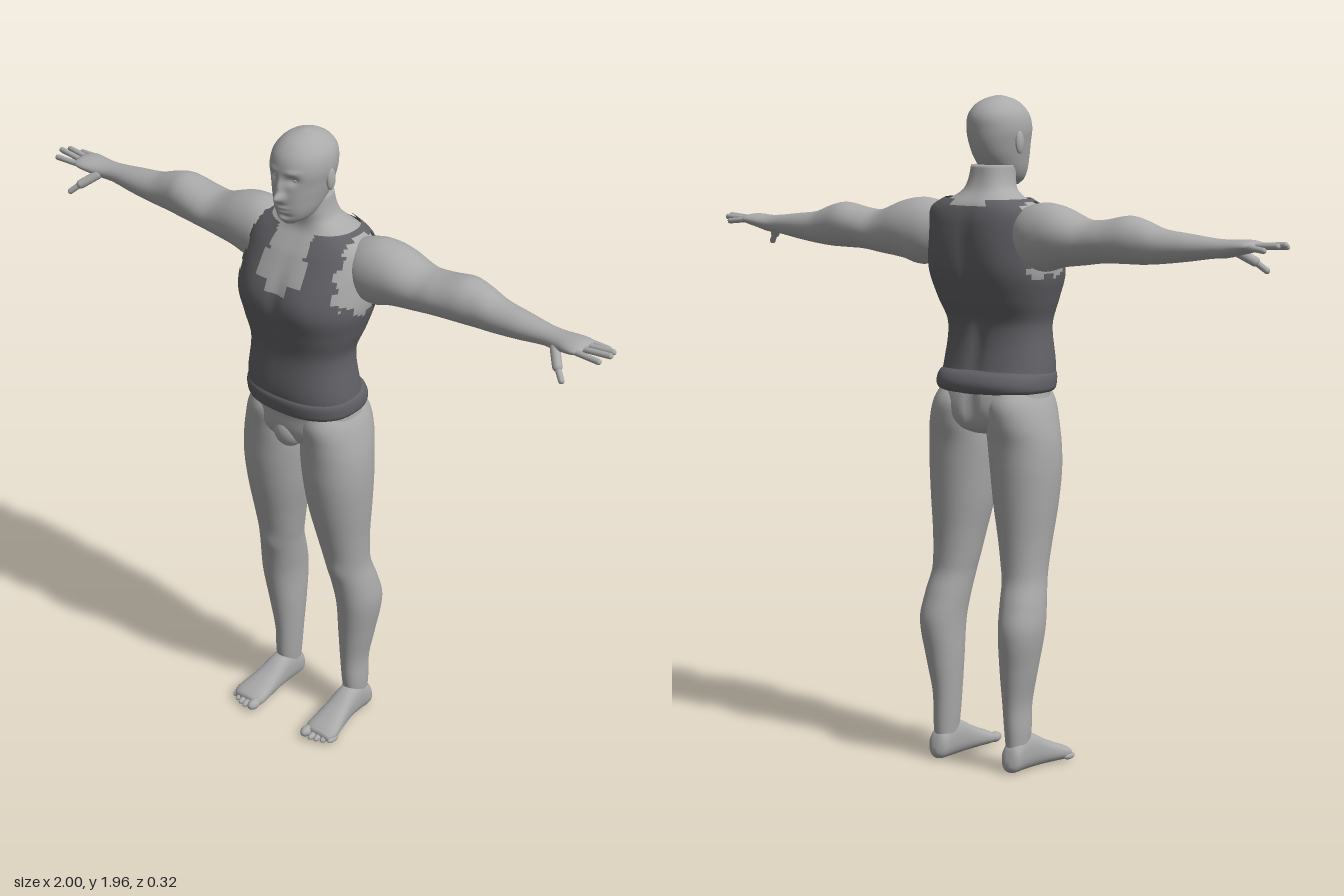
import * as THREE from 'three';

const skin = new THREE.MeshStandardMaterial({ color: 0xaaaaaa });
skin.name = 'skin grey';
const cloth = new THREE.MeshStandardMaterial({ color: 0x626166, side: THREE.DoubleSide });
cloth.name = 'vest dark grey';

const bump = (x, y, cx, cy, sx, sy) => Math.exp(-(((x - cx) / sx) ** 2) - ((y - cy) / sy) ** 2);

// Smooth interpolation through key rows, each starting with its position t
function sample(keys, t) {
  let i = 0;
  while (i < keys.length - 2 && t > keys[i + 1][0]) i++;
  const a = keys[i], b = keys[i + 1], h = b[0] - a[0], s = (t - a[0]) / h;
  const slope = (k, c) => {
    const p = keys[Math.max(k - 1, 0)], n = keys[Math.min(k + 1, keys.length - 1)];
    return (n[c] - p[c]) / (n[0] - p[0]);
  };
  return a.map((v, c) => c === 0 ? t :
    (1 + 2 * s) * (1 - s) ** 2 * v + s * (1 - s) ** 2 * h * slope(i, c) +
    s * s * (3 - 2 * s) * b[c] + s * s * (s - 1) * h * slope(i + 1, c));
}

// Loft of rounded sections; keys are [t, uMin, uMax, vMin, vMax]
// axis y: u = x, v = z;  axis x: u = z, v = y;  axis z: u = y, v = x
function loft(axis, keys, rows, n, power = 2, deform = null) {
  const pos = [], idx = [];
  const put = (u, v, t) => {
    const p = axis === 'y' ? new THREE.Vector3(u, t, v)
      : axis === 'x' ? new THREE.Vector3(t, v, u) : new THREE.Vector3(v, u, t);
    if (deform) deform(p);
    pos.push(p.x, p.y, p.z);
  };
  const t0 = keys[0][0], t1 = keys[keys.length - 1][0];
  const round = c => Math.sign(c) * Math.abs(c) ** (2 / power);
  for (let r = 0; r <= rows; r++) {
    const [t, u0, u1, v0, v1] = sample(keys, t0 + (t1 - t0) * r / rows);
    for (let k = 0; k < n; k++) {
      const a = (k + 0.5) / n * Math.PI * 2;
      put((u0 + u1) / 2 + round(Math.cos(a)) * (u1 - u0) / 2,
        (v0 + v1) / 2 + round(Math.sin(a)) * (v1 - v0) / 2, t);
    }
  }
  for (let r = 0; r < rows; r++) for (let k = 0; k < n; k++) {
    const a = r * n + k, b = r * n + (k + 1) % n;
    idx.push(a, a + n, b, b, a + n, b + n);
  }
  for (const [key, row] of [[keys[0], 0], [keys[keys.length - 1], rows]]) {
    const c = pos.length / 3;
    put((key[1] + key[2]) / 2, (key[3] + key[4]) / 2, key[0]);
    for (let k = 0; k < n; k++) {
      const a = row * n + k, b = row * n + (k + 1) % n;
      if (row) idx.push(a, c, b); else idx.push(a, b, c);
    }
  }
  const g = new THREE.BufferGeometry();
  g.setAttribute('position', new THREE.Float32BufferAttribute(pos, 3));
  g.setIndex(idx);
  g.computeVertexNormals();
  return g;
}

// Section rows symmetric in x: [y, halfWidth, zBack, zFront]
const sym = rows => rows.map(([y, w, b, f]) => [y, -w, w, b, f]);

function ball(x, y, z, rx, ry, rz) {
  return new THREE.SphereGeometry(1, 24, 16).scale(rx, ry, rz).translate(x, y, z);
}

// Rounded finger segment between two points
function finger(a, b, r) {
  const p = new THREE.Vector3(...a), q = new THREE.Vector3(...b), d = q.clone().sub(p);
  const g = new THREE.CapsuleGeometry(r, d.length(), 6, 12);
  g.applyQuaternion(new THREE.Quaternion().setFromUnitVectors(new THREE.Vector3(0, 1, 0), d.normalize()));
  return g.translate(...p.add(q).multiplyScalar(0.5).toArray());
}

function mirrored(g) {
  const m = g.clone().scale(-1, 1, 1), ix = m.index.array;
  for (let i = 0; i < ix.length; i += 3) [ix[i], ix[i + 1]] = [ix[i + 1], ix[i]];
  m.computeVertexNormals();
  return m;
}

// Keeps vest faces and cuts stepped neck and arm openings
function isVest(x, y, z) {
  const ax = Math.abs(x), step = Math.floor(y * 32) % 2 ? 0.012 : 0;
  if (y < 1.14 || y > 1.664) return false;
  if (z > 0.0 && y > 1.5 && ax < (y > 1.6 ? 0.062 : y > 1.53 ? 0.078 : 0.035)) return false;
  if (z <= 0.0 && y > 1.645 && ax < 0.06) return false;
  const side = z > -0.1 ? 0.155 : 0.175;
  const low = 1.44 + (Math.floor((z + 1) * 24) % 2 ? 0.02 : 0) + Math.max(0, z) * 0.4;
  return !(y > low && ax > side + step + Math.max(0, 1.56 - y) * 0.2);
}

export function createModel() {
  const model = new THREE.Group();
  model.name = 'figure';
  const add = (name, g, mat = skin, parent = model) => {
    const m = new THREE.Mesh(g, mat);
    m.name = name;
    parent.add(m);
  };
  const pair = (name, list) => {
    for (const s of ['left', 'right']) {
      const grp = new THREE.Group();
      grp.name = s + name;
      for (const [part, g] of list) add(part, s === 'left' ? g : mirrored(g), skin, grp);
      model.add(grp);
    }
  };

  // Torso with neck, chest muscles and spine groove
  const torso = loft('y', sym([
    [0.985, 0.06, -0.08, 0.06], [1.0, 0.13, -0.11, 0.09], [1.04, 0.18, -0.132, 0.112],
    [1.1, 0.17, -0.13, 0.116], [1.18, 0.164, -0.103, 0.13], [1.3, 0.153, -0.09, 0.122],
    [1.38, 0.178, -0.122, 0.136], [1.45, 0.198, -0.144, 0.146], [1.52, 0.198, -0.15, 0.128],
    [1.6, 0.19, -0.148, 0.087], [1.635, 0.175, -0.14, 0.062], [1.655, 0.14, -0.13, 0.047],
    [1.67, 0.105, -0.116, 0.04], [1.69, 0.077, -0.1, 0.038], [1.72, 0.065, -0.088, 0.043],
    [1.76, 0.06, -0.08, 0.05]]), 100, 120, 2.4, p => {
    const ax = Math.abs(p.x);
    if (p.z > 0.02) p.z += 0.008 * bump(ax, p.y, 0.085, 1.48, 0.06, 0.06) - 0.006 * bump(p.x, p.y, 0, 1.48, 0.015, 0.1);
    if (p.z < -0.04) p.z += 0.012 * bump(p.x, p.y, 0, 1.35, 0.025, 0.22) + 0.018 * bump(p.x, p.y, 0, 1.05, 0.02, 0.06)
      - 0.006 * bump(ax, p.y, 0.09, 1.52, 0.05, 0.09);
  });
  add('torso', torso);

  // Vest: the torso surface moved outward, with openings left out
  const vest = torso.clone(), vp = vest.attributes.position, vn = vest.attributes.normal;
  for (let i = 0; i < vp.count; i++)
    vp.setXYZ(i, vp.getX(i) + 0.008 * vn.getX(i), vp.getY(i) + 0.008 * vn.getY(i), vp.getZ(i) + 0.008 * vn.getZ(i));
  const src = torso.index.array, keep = [];
  for (let i = 0; i < src.length; i += 6) {
    const q = Array.from(src.slice(i, i + 6));
    const mid = f => (f(q[0]) + f(q[1]) + f(q[2]) + f(q[5])) / 4;
    if (isVest(mid(k => vp.getX(k)), mid(k => vp.getY(k)), mid(k => vp.getZ(k)))) keep.push(...q);
  }
  vest.setIndex(keep);
  add('vest', vest, cloth);
  add('vestHem', loft('y', sym([
    [1.105, 0.16, -0.125, 0.115], [1.112, 0.175, -0.138, 0.132], [1.135, 0.18, -0.143, 0.14],
    [1.16, 0.176, -0.13, 0.141], [1.172, 0.165, -0.112, 0.132]]), 14, 80, 2.4), cloth);
  add('groin', ball(0, 1.03, 0.082, 0.048, 0.05, 0.04));

  // Head with brow, eye sockets, nose and mouth
  add('head', loft('y', sym([
    [1.7, 0.018, 0.05, 0.092], [1.715, 0.042, 0.0, 0.104], [1.74, 0.058, -0.035, 0.112],
    [1.78, 0.07, -0.07, 0.116], [1.82, 0.079, -0.087, 0.116], [1.86, 0.086, -0.093, 0.117],
    [1.9, 0.081, -0.09, 0.108], [1.93, 0.062, -0.068, 0.084], [1.948, 0.037, -0.035, 0.053],
    [1.957, 0.008, 0.0, 0.018]]), 64, 110, 2.1, p => {
    if (p.z < 0.02) return;
    const ax = Math.abs(p.x);
    p.z += 0.026 * bump(p.x, p.y, 0, 1.789, 0.013, 0.014) + 0.014 * bump(p.x, p.y, 0, 1.818, 0.01, 0.024)
      - 0.012 * bump(ax, p.y, 0.033, 1.842, 0.016, 0.012) + 0.004 * bump(ax, p.y, 0.035, 1.866, 0.022, 0.008)
      + 0.006 * bump(p.x, p.y, 0, 1.757, 0.02, 0.005) + 0.006 * bump(p.x, p.y, 0, 1.744, 0.017, 0.005)
      + 0.005 * bump(p.x, p.y, 0, 1.718, 0.02, 0.01) - 0.005 * bump(p.x, p.y, 0, 1.731, 0.025, 0.006);
  }));
  pair('FaceSide', [
    ['eye', ball(0.033, 1.841, 0.088, 0.013, 0.009, 0.012)],
    ['ear', ball(0.083, 1.825, -0.002, 0.009, 0.033, 0.017).rotateY(0)],
  ]);

  // Arms, hands and fingers
  const armParts = [['arm', loft('x', [
    [0.11, -0.1, -0.01, 1.54, 1.63], [0.17, -0.138, 0.025, 1.48, 1.652], [0.22, -0.15, 0.03, 1.465, 1.661],
    [0.28, -0.152, 0.025, 1.48, 1.652], [0.37, -0.143, 0.012, 1.492, 1.62], [0.43, -0.143, 0.012, 1.5, 1.622],
    [0.51, -0.138, 0.003, 1.502, 1.636], [0.56, -0.13, -0.008, 1.503, 1.626], [0.62, -0.12, -0.014, 1.508, 1.605],
    [0.7, -0.108, -0.018, 1.518, 1.595], [0.78, -0.095, -0.025, 1.53, 1.586], [0.82, -0.095, -0.02, 1.533, 1.584],
    [0.87, -0.098, -0.004, 1.545, 1.586], [0.9, -0.097, -0.002, 1.553, 1.584], [0.915, -0.088, -0.01, 1.562, 1.578]],
    80, 36)]];
  const tips = [[0.955, 1.562, -0.093], [0.984, 1.573, -0.07], [0.992, 1.576, -0.043], [0.978, 1.568, -0.01]];
  tips.forEach((tip, i) => armParts.push(['finger', finger([0.895, 1.568, -0.086 + i * 0.024], tip, 0.0085)]));
  armParts.push(['thumbBase', finger([0.83, 1.55, -0.025], [0.865, 1.522, 0.012], 0.014)]);
  armParts.push(['thumbTip', finger([0.865, 1.522, 0.012], [0.892, 1.497, 0.03], 0.009)]);
  pair('Arm', armParts);

  // Legs, feet and toes
  const legParts = [
    ['leg', loft('y', [
      [0.05, 0.105, 0.16, -0.115, -0.035], [0.12, 0.098, 0.165, -0.12, -0.025], [0.2, 0.092, 0.166, -0.124, -0.02],
      [0.3, 0.086, 0.185, -0.137, -0.01], [0.42, 0.083, 0.205, -0.15, 0.006], [0.5, 0.075, 0.2, -0.13, 0.02],
      [0.56, 0.068, 0.191, -0.109, 0.032], [0.6, 0.06, 0.19, -0.105, 0.042], [0.68, 0.045, 0.195, -0.105, 0.062],
      [0.78, 0.025, 0.205, -0.11, 0.085], [0.88, 0.012, 0.211, -0.115, 0.1], [0.96, 0.005, 0.208, -0.12, 0.104],
      [1.02, 0.008, 0.197, -0.132, 0.108], [1.08, 0.015, 0.178, -0.132, 0.112], [1.13, 0.05, 0.15, -0.1, 0.09]],
      90, 44, 2.15, p => {
        if (p.z > -0.03) p.z += 0.008 * bump(p.x, p.y, 0.128, 0.56, 0.035, 0.035);
      })],
    ['foot', loft('z', [
      [-0.13, 0.015, 0.04, 0.122, 0.146], [-0.118, 0.002, 0.075, 0.106, 0.163], [-0.07, 0, 0.11, 0.1, 0.167],
      [-0.02, 0, 0.103, 0.098, 0.171], [0.03, 0, 0.077, 0.094, 0.18], [0.08, 0, 0.055, 0.09, 0.192],
      [0.11, 0, 0.043, 0.09, 0.195], [0.13, 0.006, 0.032, 0.1, 0.182]], 40, 32, 2.4)],
  ];
  for (let i = 0; i < 5; i++) {
    const r = i ? 0.0105 : 0.016;
    legParts.push(['toe', ball(i ? 0.112 + i * 0.019 : 0.106, r + 0.003, 0.132 - i * i * 0.0016, r, r, 0.024)]);
  }
  pair('Leg', legParts);
  return model;
}
